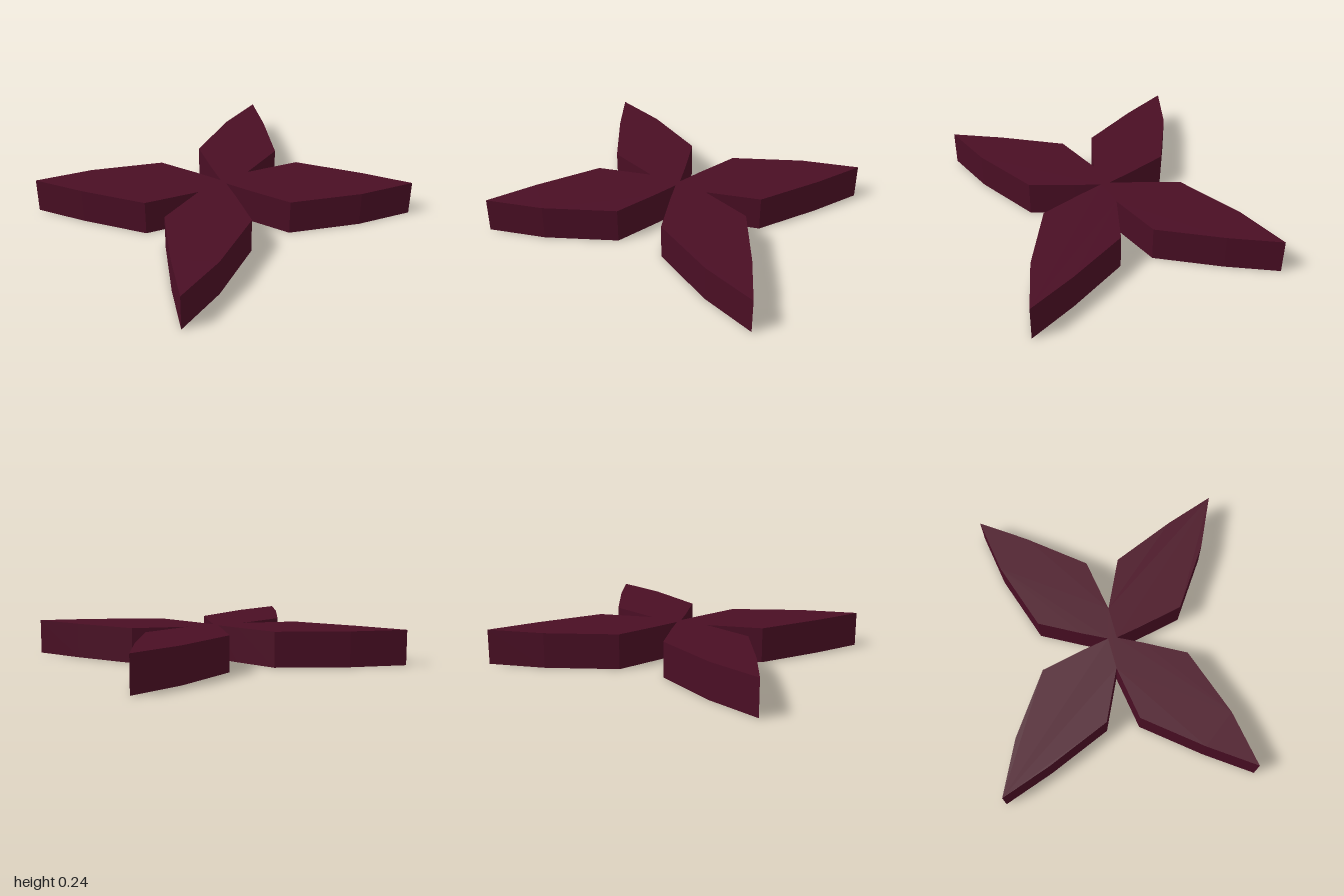
import * as THREE from 'three';

const HEIGHT = 0.24;

// One petal, from the side notch round the tip to the front notch
const PETAL = [
  [0.22, 0], [0.585, 0.112], [0.83, 0.515], [1, 0.84],
  [0.62, 0.722], [0.17, 0.497], [0.06, 0.205], [0, 0.03],
];

// Mirror the petal into all four quadrants as one closed outline
function starOutline() {
  const half = [...PETAL, ...PETAL.slice(0, -1).reverse().map(([x, y]) => [-x, y])];
  const otherHalf = half.slice(1, -1).reverse().map(([x, y]) => [x, -y]);
  return [...half, ...otherHalf].map(([x, y]) => new THREE.Vector2(x, y));
}

export function createModel() {
  const group = new THREE.Group();
  group.name = 'fourPetalStar';

  // Flat star slab, extruded upward from the ground
  const geometry = new THREE.ExtrudeGeometry(new THREE.Shape(starOutline()), {
    depth: HEIGHT,
    bevelEnabled: false,
  });
  geometry.rotateX(-Math.PI / 2);

  const material = new THREE.MeshStandardMaterial({ color: 0x4a0e24, flatShading: true });
  const petals = new THREE.Mesh(geometry, material);
  petals.name = 'petals';
  group.add(petals);

  return group;
}
